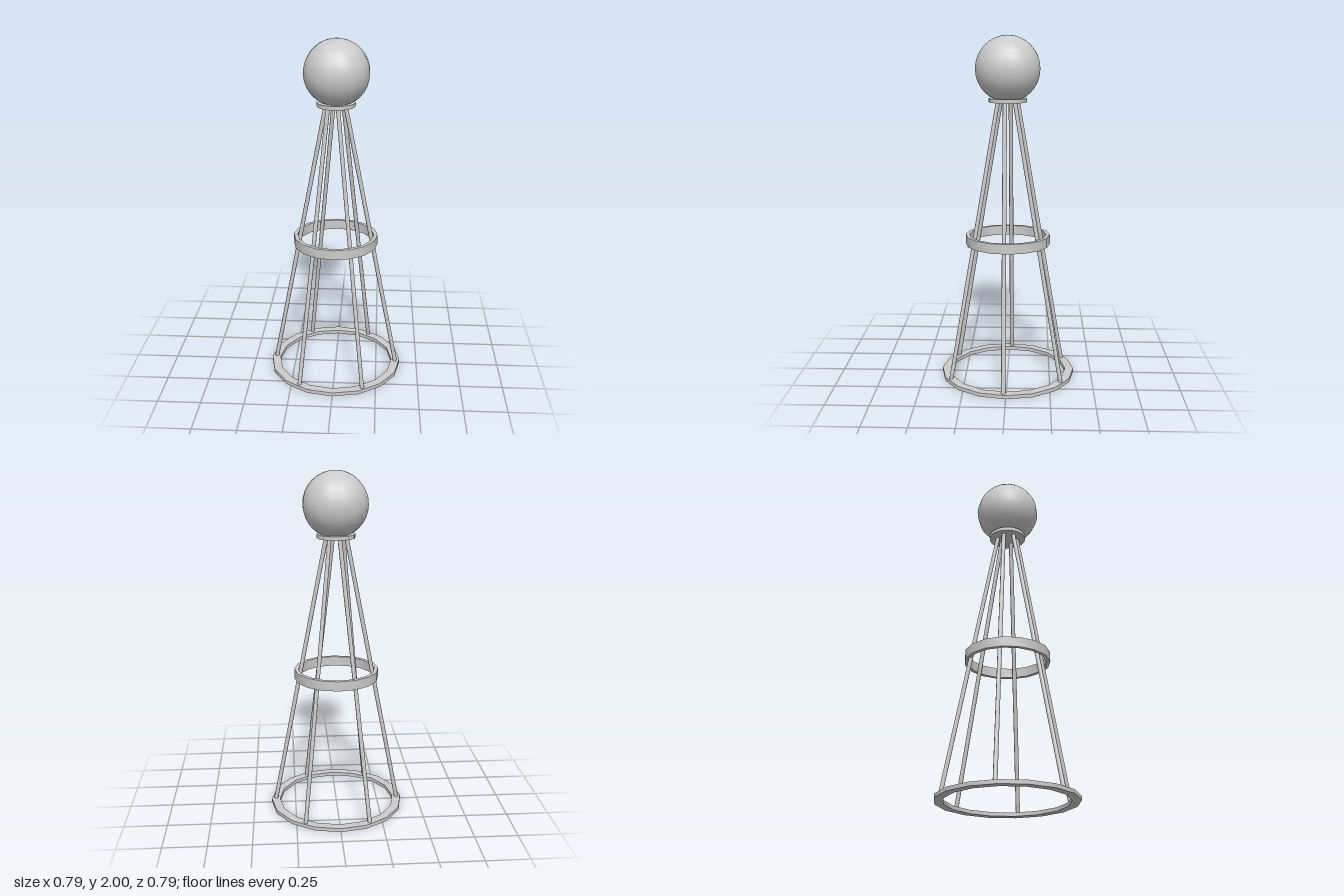
import * as THREE from 'three';
import { toCreasedNormals } from 'three/addons/utils/BufferGeometryUtils.js';

const SIDES = 16;
const material = new THREE.MeshStandardMaterial({ color: 0xcccccc });

function part(name, geometry) {
  const mesh = new THREE.Mesh(geometry, material);
  mesh.name = name;
  return mesh;
}

// Flat hoop with a rectangular section, smooth round the rim and sharp at the edges
function hoop(name, inner, outer, bottom, top) {
  const section = [[outer, bottom], [outer, top], [inner, top], [inner, bottom], [outer, bottom]]
    .map(([r, y]) => new THREE.Vector2(r, y));
  return part(name, toCreasedNormals(new THREE.LatheGeometry(section, SIDES), 0.6));
}

// Straight round rod between two points
function rod(name, from, to, radius) {
  const axis = to.clone().sub(from);
  const mesh = part(name, new THREE.CylinderGeometry(radius, radius, axis.length(), 8));
  mesh.position.copy(from).add(to).multiplyScalar(0.5);
  mesh.quaternion.setFromUnitVectors(new THREE.Vector3(0, 1, 0), axis.normalize());
  return mesh;
}

export function createModel() {
  const model = new THREE.Group();
  model.name = 'tower';

  // Hoops
  model.add(hoop('baseRing', 0.345, 0.395, 0, 0.022));
  model.add(hoop('middleRing', 0.224, 0.246, 0.8, 0.857));

  // Six leaning legs, each set slightly to one side of its radius
  const legs = new THREE.Group();
  legs.name = 'legs';
  for (let i = 0; i < 6; i++) {
    const leg = rod('leg', new THREE.Vector3(0.37, 0.015, 0.015), new THREE.Vector3(0.055, 1.635, 0.015), 0.0122);
    const pivot = new THREE.Group();
    pivot.name = 'legMount';
    pivot.rotation.y = (i * Math.PI) / 3;
    pivot.add(leg);
    legs.add(pivot);
  }
  model.add(legs);

  // Plate carrying the ball
  const plate = part('topPlate', new THREE.CylinderGeometry(0.109, 0.109, 0.022, SIDES));
  plate.position.set(0.002, 1.638, 0);
  model.add(plate);

  // Ball
  const ball = part('ball', new THREE.SphereGeometry(0.186, SIDES, SIDES));
  ball.rotation.y = Math.PI / SIDES;
  ball.position.set(0.005, 1.814, 0);
  model.add(ball);

  return model;
}
